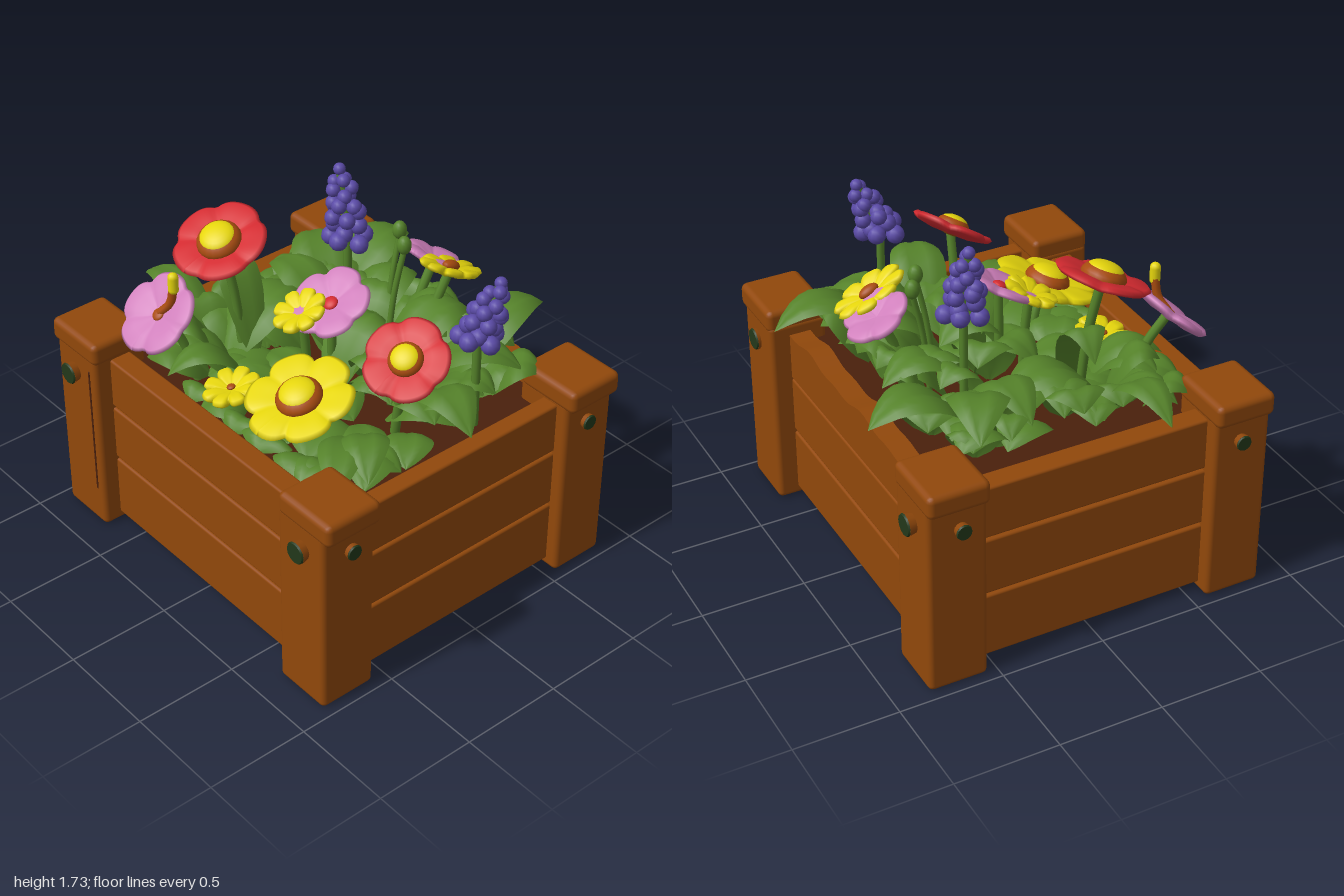
import * as THREE from 'three';
import { mergeGeometries } from 'three/addons/utils/BufferGeometryUtils.js';
import { RoundedBoxGeometry } from 'three/addons/geometries/RoundedBoxGeometry.js';

const mat = (name, color, side = THREE.FrontSide) => {
  const m = new THREE.MeshStandardMaterial({ color, side });
  m.name = name;
  return m;
};
const V = (x, y, z) => new THREE.Vector3(x, y, z);

export function createModel() {
  const root = new THREE.Group();
  root.name = 'flowerPlanter';
  const wood = mat('wood', 0x91480b), soil = mat('soil', 0x4a200c), bolt = mat('boltGreen', 0x22381a);
  const leafGreen = mat('leafGreen', 0x55822a, THREE.DoubleSide);
  const red = mat('red', 0xd42a30), yellow = mat('yellow', 0xe6d60c), pink = mat('pink', 0xd080bc);
  const purple = mat('purple', 0x5a4aa6), amber = mat('amber', 0xa84c10);

  const add = (name, geo, material, parent = root) => {
    const m = new THREE.Mesh(geo, material);
    m.name = name;
    parent.add(m);
    return m;
  };
  const box = (name, x0, x1, y0, y1, z0, z1, r = 0.012, material = wood) => {
    const m = add(name, new RoundedBoxGeometry(x1 - x0, y1 - y0, z1 - z0, 2, r), material);
    m.position.set((x0 + x1) / 2, (y0 + y1) / 2, (z0 + z1) / 2);
  };

  // Corner posts, caps and bolts
  for (const sx of [-1, 1]) for (const sz of [-1, 1]) {
    const px = sx * 0.805, pz = sz > 0 ? 0.71 : -0.69;
    box('post', px - 0.148, px + 0.148, 0, 0.96, pz - 0.142, pz + 0.142, 0.025);
    const cx = sx > 0 ? 0.827 : -0.817;
    box('postCap', cx - 0.167, cx + 0.167, 0.925, 1.04, pz - 0.147, pz + 0.147, 0.03);
    const addBolt = (x, z, radius, rx, rz) => {
      const g = new THREE.Group();
      g.name = 'bolt';
      add('boltShank', new THREE.CylinderGeometry(radius, radius * 0.75, 0.06, 12), wood, g);
      add('boltFace', new THREE.CylinderGeometry(radius * 0.9, radius * 0.98, 0.008, 12), bolt, g).position.y = 0.034;
      g.position.set(x, 0.825, z);
      g.rotation.set(rx, 0, rz);
      root.add(g);
    };
    const sunk = sx > 0 && sz < 0 ? 0.02 : 0;
    addBolt(sx * 0.82, pz + sz * (0.147 - sunk), 0.054, sz * Math.PI / 2, 0);
    addBolt(px + sx * (sx > 0 ? 0.14 : 0.147), sz > 0 ? 0.7 : -0.675, 0.038, 0, -sx * Math.PI / 2);
  }
  box('postCrack', -0.712, -0.7, 0.2, 0.88, 0.847, 0.855, 0.003, soil);

  // Plank walls over a dark lining, which shows through the seams
  const rows = [[0.04, 0.363], [0.375, 0.66], [0.672, 0.93]];
  rows.forEach(([y0, y1], i) => {
    box('frontPlank', -0.7, 0.7, y0, y1, 0.65, 0.765);
    box('leftPlank', 0.8, 0.89, y0, y1, -0.6, 0.62);
    box('rightPlank', -0.885, -0.775, y0, y1, -0.6, 0.62);
    if (i < 2) box('backPlank', -0.7, 0.7, y0, y1, -0.735, -0.63);
  });
  const worn = new THREE.BoxGeometry(1.4, 0.258, 0.105, 28, 1, 1); // worn top edge at the back
  const wp = worn.attributes.position;
  for (let i = 0; i < wp.count; i++) if (wp.getY(i) > 0) {
    const x = wp.getX(i);
    wp.setY(i, 0.129 - 0.022 * (1 + Math.sin(x * 11) * 0.6 + Math.sin(x * 23 + 1) * 0.4));
  }
  worn.computeVertexNormals();
  add('wornBackPlank', worn, wood).position.set(0, 0.801, -0.6825);
  box('soilFill', -0.83, 0.83, 0.06, 0.85, -0.67, 0.7, 0.01, soil);

  // Dark floor boards
  for (let i = 0; i < 5; i++) {
    const z = -0.69 + i * 0.28;
    box('floorBoard', -0.84, 0.84, 0.042, 0.09, z, z + 0.27, 0.008, soil);
  }

  // Leaf blade: arched midrib, pointed ends, bulging halves
  const leaf = (x0, z0, x1, z1, width, peak, droop) => {
    const g = new THREE.PlaneGeometry(1, 1, 6, 10), p = g.attributes.position, uv = g.attributes.uv;
    const dx = x1 - x0, dz = z1 - z0, len = Math.hypot(dx, dz) || 1;
    const baseY = 0.86, tipY = peak - droop, ctrl = 2 * peak - (baseY + tipY) / 2;
    for (let i = 0; i < p.count; i++) {
      const s = uv.getX(i) * 2 - 1, t = uv.getY(i);
      const w = 0.5 * width * (0.08 * (1 - t) + Math.pow(Math.sin(Math.PI * Math.pow(t, 0.85)), 0.8));
      const y = (1 - t) ** 2 * baseY + 2 * t * (1 - t) * ctrl + t * t * tipY;
      const bulge = w * (0.5 * Math.abs(s) - 0.65 * s * s);
      p.setXYZ(i, x0 + dx * t - dz / len * s * w, y + bulge, z0 + dz * t + dx / len * s * w);
    }
    g.computeVertexNormals();
    return g;
  };
  // Large leaves: base x z, tip x z, width, peak height
  const leaves = [
    [-0.38, -0.32, -0.44, -0.85, 0.28, 1.15], [0.46, -0.3, 0.43, -0.9, 0.26, 1.18],
    [-0.28, -0.25, -0.76, -0.48, 0.27, 1.14], [-0.2, -0.2, -0.7, -0.2, 0.24, 1.12],
    [-0.5, 0.3, -1.0, 0.31, 0.19, 1.13], [0.45, -0.12, 0.92, 0.0, 0.25, 1.13],
    [-0.4, 0.3, -0.44, -0.2, 0.3, 1.1], [-0.35, 0.1, -0.66, -0.02, 0.24, 1.08],
    [0.4, 0.25, 0.73, 0.6, 0.2, 0.98], [0.45, 0.2, 0.76, 0.44, 0.2, 1.0],
    [-0.45, 0.3, -0.72, 0.52, 0.2, 1.02], [-0.25, 0.3, -0.36, 0.66, 0.18, 1.05],
    [0.3, -0.2, 0.72, -0.5, 0.25, 1.14], [0.2, -0.15, 0.25, -0.62, 0.27, 1.16],
    [-0.1, -0.2, -0.16, -0.65, 0.25, 1.14], [0.1, 0, 0.36, -0.2, 0.24, 1.16],
    [-0.3, 0.2, -0.62, 0.15, 0.2, 1.28], [0.15, -0.1, 0.42, 0.06, 0.24, 1.12],
    [0, -0.1, -0.3, 0.05, 0.24, 1.13], [0.1, 0.1, 0.02, -0.28, 0.26, 1.14]
  ].map(a => leaf(...a, 0.09));
  // Filler leaves on a jittered grid, kept low under the front flowers
  let seed = 7;
  const rnd = () => (seed = (seed * 16807) % 2147483647) / 2147483647;
  for (let i = 0; i < 8; i++) for (let j = 0; j < 8; j++) {
    const x = -0.52 + i * 0.148 + (rnd() - 0.5) * 0.1, z = -0.45 + j * 0.13 + (rnd() - 0.5) * 0.1;
    const a = Math.atan2(z - 0.05, x) + (rnd() - 0.5) * 1.6, l = 0.24 + rnd() * 0.12;
    const tx = THREE.MathUtils.clamp(x + Math.cos(a) * l, -0.72, 0.74);
    const tz = THREE.MathUtils.clamp(z + Math.sin(a) * l, -0.61, 0.63);
    const mound = 1.1 - 0.13 * Math.max(Math.abs(x), z * 1.3) + (rnd() - 0.5) * 0.1;
    const low = Math.max(z, tz) > 0.12 && Math.max(x, tx) > -0.26;
    leaves.push(leaf(x, z, tx, tz, 0.19 + rnd() * 0.09, low ? Math.min(mound, 0.915) : mound, 0.05));
  }
  add('foliage', mergeGeometries(leaves), leafGreen);

  const stem = (from, to, r = 0.022) => {
    const mid = from.clone().lerp(to, 0.6);
    mid.x += (from.x - to.x) * 0.1;
    mid.z += (from.z - to.z) * 0.2;
    add('stem', new THREE.TubeGeometry(new THREE.CatmullRomCurve3([from, mid, to]), 10, r, 8), leafGreen);
  };

  // Lobed petal disc: a lathe whose radius and height follow the petals
  const petals = (R, lobes, depth) => {
    const profile = [[0, -0.03], [0.5, -0.025], [0.93, -0.008], [1, 0.008], [0.92, 0.022], [0.6, 0.02], [0.3, 0.004], [0, -0.006]];
    const g = new THREE.LatheGeometry(profile.map(([r, y]) => new THREE.Vector2(r * R, y)), lobes * 14);
    const p = g.attributes.position;
    for (let i = 0; i < p.count; i++) {
      const x = p.getX(i), z = p.getZ(i), r = Math.hypot(x, z) / R;
      const notch = (1 - Math.abs(Math.sin(Math.atan2(z, x) * lobes / 2))) ** 2;
      const k = 1 - depth * notch * r;
      p.setXYZ(i, x * k, p.getY(i) - 0.012 * notch * r, z * k);
    }
    g.computeVertexNormals();
    return g;
  };
  const button = (name, r, squash, y, material, parent) => {
    const m = add(name, new THREE.SphereGeometry(r, 20, 12), material, parent);
    m.scale.y = squash;
    m.position.y = y;
  };
  const flower = (name, pos, normal, R, lobes, depth, color) => {
    const g = new THREE.Group();
    g.name = name;
    g.position.copy(pos);
    g.quaternion.setFromUnitVectors(V(0, 1, 0), normal.normalize());
    add('petals', petals(R, lobes, depth), color, g);
    root.add(g);
    stem(V(pos.x * 0.85, 0.84, pos.z * 0.75), pos.clone().addScaledVector(normal, -0.02));
    return g;
  };
  // Flower heart: amber cushion with a yellow crown
  const heart = (g, r) => {
    button('heartCushion', r, 0.6, 0.012, amber, g);
    button('heartCrown', r * 0.82, 0.5, 0.012 + r * 0.24, yellow, g);
  };

  heart(flower('largeRedFlower', V(-0.43, 1.485, 0.29), V(0.1, 1, 0.43), 0.22, 5, 0.1, red), 0.105);
  heart(flower('smallRedFlower', V(0.58, 1.295, 0.075), V(0.3, 1, 0.68), 0.198, 5, 0.12, red), 0.08);
  heart(flower('largeYellowFlower', V(0.27, 1.075, 0.41), V(0, 1, 0.36), 0.255, 6, 0.17, yellow), 0.108);
  const frontPink = flower('frontPinkFlower', V(-0.45, 1.235, 0.63), V(0, 1, 0.9), 0.2, 5, 0.14, pink);
  button('flowerEye', 0.03, 0.4, 0, amber, frontPink);
  const middlePink = flower('middlePinkFlower', V(0.03, 1.285, 0.035), V(0.05, 1, 0.55), 0.19, 5, 0.18, pink);
  button('flowerEye', 0.035, 0.5, 0, red, middlePink);
  flower('backPinkFlower', V(0.05, 1.285, -0.57), V(0, 1, -0.55), 0.16, 5, 0.18, pink);
  const backYellow = flower('backYellowFlower', V(0.195, 1.315, -0.53), V(0, 1, -0.5), 0.185, 8, 0.24, yellow);
  backYellow.scale.x = 0.6;
  button('flowerEye', 0.05, 0.5, 0.012, amber, backYellow);
  flower('middleYellowFlower', V(-0.045, 1.25, 0.15), V(-0.1, 1, 0.45), 0.13, 8, 0.26, yellow);
  const frontYellow = flower('frontYellowFlower', V(-0.1, 0.965, 0.5), V(-0.1, 1, 0.22), 0.135, 8, 0.32, yellow);
  button('flowerEye', 0.02, 0.5, 0.008, amber, frontYellow);

  // Long pistil of the front pink flower
  const pistil = new THREE.CatmullRomCurve3([V(-0.45, 1.24, 0.62), V(-0.41, 1.3, 0.59), V(-0.395, 1.39, 0.58)]);
  add('pistil', new THREE.TubeGeometry(pistil, 8, 0.02, 8), amber);
  const tip = add('pistilTip', new THREE.CapsuleGeometry(0.025, 0.06, 4, 10), yellow);
  tip.position.set(-0.39, 1.41, 0.583);

  // Green buds
  for (const [x, z] of [[-0.05, -0.44], [0.06, -0.37]]) {
    const bud = add('bud', new THREE.SphereGeometry(0.034, 12, 10), leafGreen);
    bud.scale.y = 1.35;
    bud.position.set(x, 1.435, z);
    stem(V(x * 0.6, 0.85, z * 0.8), V(x, 1.41, z), 0.014);
  }

  // Lavender spikes: whorls of beads around a leaning stem
  const whorls = [[0, 0.08, 5], [0.14, 0.055, 4], [0.34, 0.062, 5], [0.48, 0.052, 4], [0.66, 0.042, 4], [0.82, 0.03, 3], [1, 0, 1]];
  const spike = (base, top) => {
    stem(V(base.x, 0.85, base.z), base, 0.02);
    add('spikeStem', new THREE.TubeGeometry(new THREE.LineCurve3(base, top), 4, 0.02, 6), leafGreen);
    const beads = [];
    whorls.forEach(([t, off, n], k) => {
      const c = base.clone().lerp(top, t);
      for (let i = 0; i < n; i++) {
        const a = (i / n) * Math.PI * 2 + k * 0.9;
        const b = new THREE.SphereGeometry(0.044 - 0.015 * t, 12, 8);
        b.translate(c.x + Math.cos(a) * off, c.y + (i % 2) * 0.02, c.z + Math.sin(a) * off);
        beads.push(b);
      }
    });
    add('lavenderBeads', mergeGeometries(beads), purple);
  };
  spike(V(-0.23, 1.37, -0.285), V(-0.295, 1.7, -0.29));
  spike(V(0.675, 1.32, -0.25), V(0.7, 1.57, -0.35));

  return root;
}
